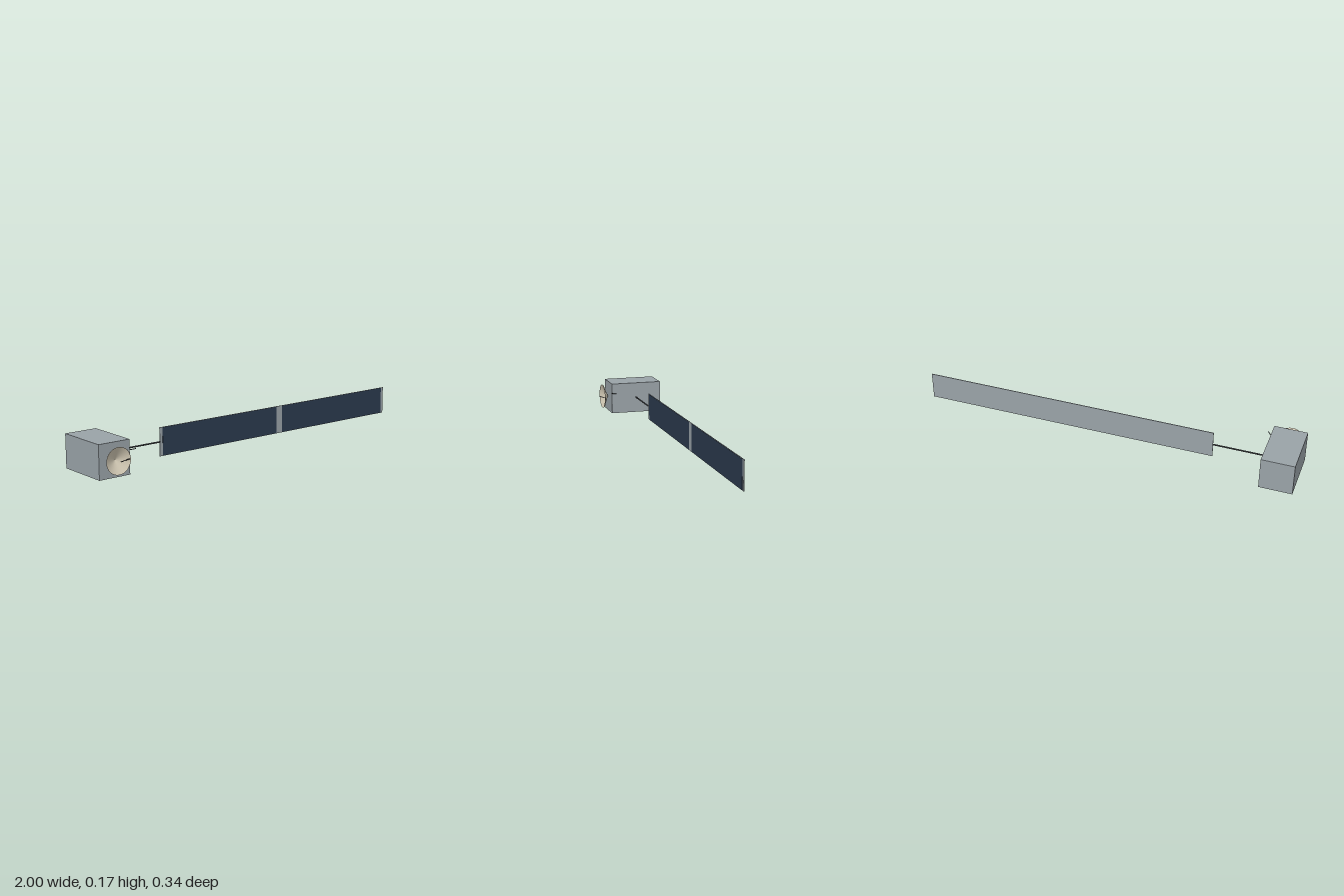
import * as THREE from 'three';

export function createModel() {
  const group = new THREE.Group();
  const material = (name, color, side = THREE.FrontSide) => {
    const m = new THREE.MeshStandardMaterial({ color, side });
    m.name = name;
    return m;
  };
  const grey = material('body grey', 0x9aa3a8);
  const navy = material('solar cell navy', 0x2b3a4e);
  const dark = material('dark metal', 0x4a4d50);
  const cream = material('dish cream', 0xd6cdb8, THREE.DoubleSide);

  const add = (name, geometry, mat, x = 0, y = 0, z = 0) => {
    const mesh = new THREE.Mesh(geometry, mat);
    mesh.name = name;
    mesh.position.set(x, y, z);
    group.add(mesh);
    return mesh;
  };
  // Box given by its extents
  const box = (name, mat, x0, x1, y0, y1, z0, z1) =>
    add(name, new THREE.BoxGeometry(x1 - x0, y1 - y0, z1 - z0), mat,
      (x0 + x1) / 2, (y0 + y1) / 2, (z0 + z1) / 2);
  // Thin round rod between two points
  const rod = (name, a, b, radius) => {
    const from = new THREE.Vector3(...a), to = new THREE.Vector3(...b);
    const dir = to.clone().sub(from);
    const mesh = add(name, new THREE.CylinderGeometry(radius, radius, dir.length(), 12), dark);
    mesh.position.copy(from).add(to).multiplyScalar(0.5);
    mesh.quaternion.setFromUnitVectors(new THREE.Vector3(0, 1, 0), dir.normalize());
  };

  const midY = 0.0865, panelZ = -0.027;

  // Spacecraft body
  box('body', grey, -1, -0.829, 0, 0.171, -0.171, 0.116);

  // Boom and solar wing
  rod('boom', [-0.832, midY, panelZ], [-0.553, midY, panelZ], 0.004);
  box('panel', grey, -0.555, 1, 0.0135, 0.1595, panelZ - 0.002, panelZ + 0.0015);
  for (const [x0, x1] of [[-0.538, 0.2], [0.239, 0.983]]) {
    box('solarCells', navy, x0, x1, 0.0155, 0.1575, panelZ + 0.0015, panelZ + 0.0025);
  }

  // Dish opening forward, with a short lip
  const profile = [[0.0005, 0.12], [0.066, 0.1485], [0.0665, 0.1535]]
    .map(([r, h]) => new THREE.Vector2(r, h));
  const dish = add('dish', new THREE.LatheGeometry(profile, 32), cream, -0.915, midY, 0);
  dish.rotation.x = Math.PI / 2;

  // Feed strut from the dish rim, and side antenna
  rod('feedStrut', [-0.852, midY, 0.149], [-0.915, midY, 0.17], 0.002);
  rod('sideAntenna', [-0.831, 0.112, 0.09], [-0.8, 0.122, 0.124], 0.002);

  return group;
}
